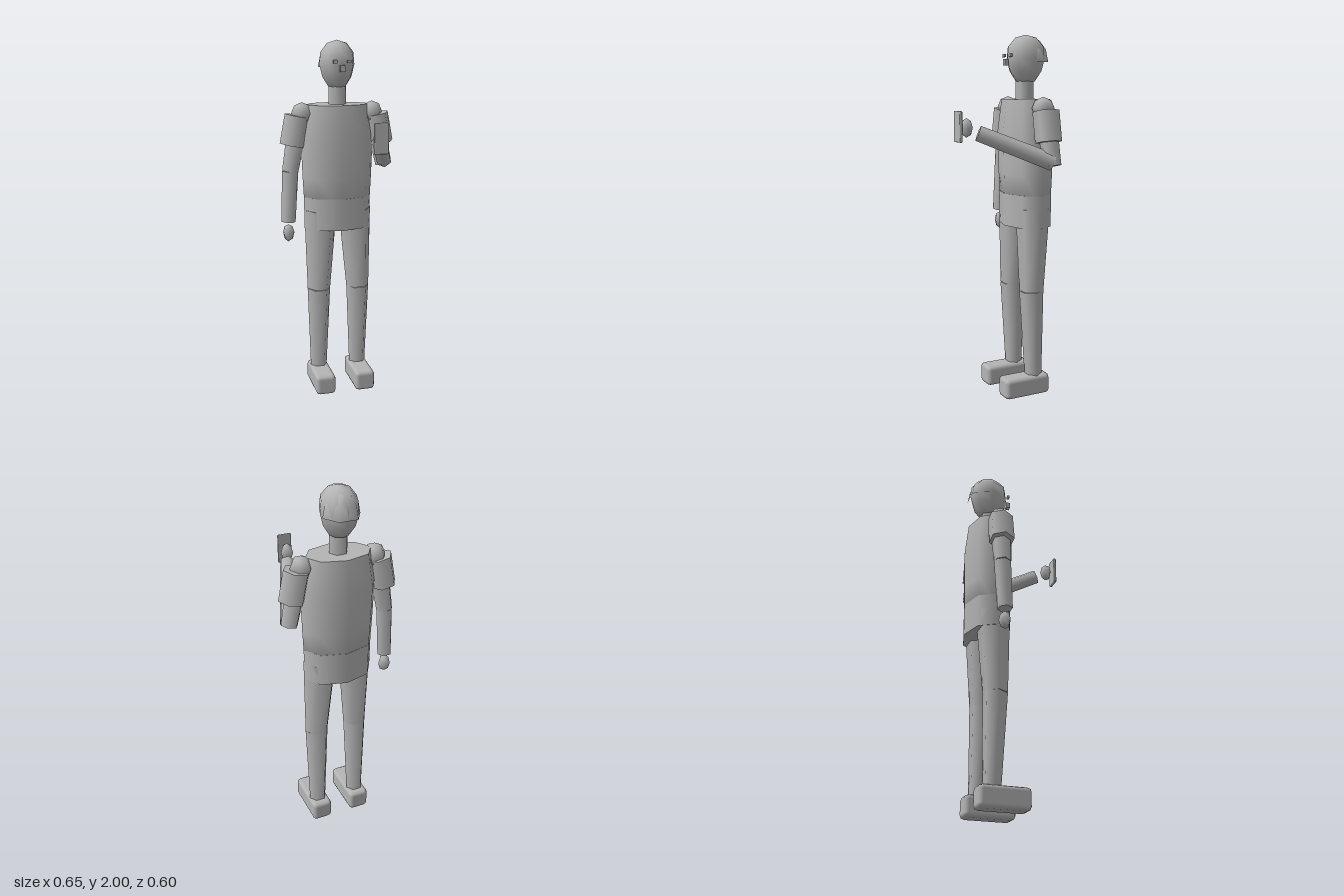
import * as THREE from 'three';
import { RoundedBoxGeometry } from 'three/addons/geometries/RoundedBoxGeometry.js';

const UP = new THREE.Vector3(0, 1, 0);
const ZC = -0.165; // depth of the body axis

export function createModel() {
  const model = new THREE.Group();
  model.name = 'standingFigure';
  const grey = new THREE.MeshStandardMaterial({ color: 0xb4b4b4 });
  grey.name = 'plain grey';

  const add = (name, geometry, x = 0, y = 0, z = 0) => {
    const mesh = new THREE.Mesh(geometry, grey);
    mesh.name = name;
    mesh.position.set(x, y, z);
    model.add(mesh);
    return mesh;
  };

  // Tapered six-sided tube from a to b
  const limb = (name, a, b, ra, rb) => {
    const from = new THREE.Vector3(...a), to = new THREE.Vector3(...b);
    const dir = to.clone().sub(from);
    const geometry = new THREE.CylinderGeometry(ra, rb, dir.length(), 6, 1, false, Math.PI / 2);
    const mid = from.clone().add(to).multiplyScalar(0.5);
    const mesh = add(name, geometry, mid.x, mid.y, mid.z);
    mesh.quaternion.setFromUnitVectors(UP, dir.normalize().negate());
    return mesh;
  };

  // Eight-sided turned form, listed from bottom to top, stretched in depth
  const turned = (name, profile, depth) => {
    const points = profile.map(([r, y]) => new THREE.Vector2(r, y));
    const mesh = add(name, new THREE.LatheGeometry(points, 8), 0, 0, ZC);
    mesh.scale.z = depth;
    return mesh;
  };

  // Body with flat ends
  const body = (name, y0, y1, r0, r1, depth) => {
    const mesh = add(name, new THREE.CylinderGeometry(r1, r0, y1 - y0, 8), 0, (y0 + y1) / 2, ZC);
    mesh.scale.z = depth;
  };
  body('pelvis', 0.96, 1.14, 0.192, 0.194, 0.66);
  turned('torso', [[0, 1.06], [0.19, 1.06], [0.2, 1.25], [0.208, 1.48], [0.178, 1.655]], 0.65);
  body('torsoTop', 1.645, 1.656, 0.18, 0.178, 0.65);

  // Head, hair and face
  limb('neck', [0, 1.77, -0.16], [0, 1.64, -0.16], 0.05, 0.05);
  turned('head', [[0, 1.74], [0.05, 1.752], [0.083, 1.805], [0.099, 1.87],
    [0.093, 1.935], [0.056, 1.983], [0, 2]], 1.13);
  const hair = add('hair', new THREE.SphereGeometry(0.1, 6, 3, 0, Math.PI * 2, 0, Math.PI / 2), 0, 1.855, -0.195);
  hair.scale.set(1, 1.33, 0.97);
  for (const side of [-1, 1]) {
    add('eye', new THREE.BoxGeometry(0.022, 0.016, 0.012), side * 0.038, 1.888, -0.054);
  }
  add('nose', new THREE.BoxGeometry(0.027, 0.035, 0.022), 0, 1.852, -0.044);

  // Mirrored shoulders, sleeves, legs and shoes
  for (const s of [-1, 1]) {
    add('shoulder', new THREE.SphereGeometry(0.06, 6, 4), s * 0.2, 1.61, -0.163);
    limb('sleeve', [s * 0.225, 1.597, ZC], [s * 0.256, 1.435, ZC], 0.071, 0.071);
    limb('thigh', [s * 0.1, 1.06, -0.16], [s * 0.116, 0.6, -0.147], 0.094, 0.067);
    limb('shin', [s * 0.116, 0.6, -0.147], [s * 0.118, 0.11, -0.16], 0.067, 0.048);
    add('shoe', new RoundedBoxGeometry(0.116, 0.116, 0.275, 1, 0.023), s * 0.117, 0.06, -0.103);
  }

  // Faceted hand
  const hand = (name, x, y, z) => {
    const mesh = add(name, new THREE.SphereGeometry(0.034, 5, 4), x, y, z);
    mesh.rotation.y = Math.PI;
    mesh.scale.y = 1.48;
  };

  // Hanging right arm
  limb('rightUpperArm', [-0.215, 1.59, ZC], [-0.27, 1.29, ZC], 0.058, 0.046);
  limb('rightForearm', [-0.27, 1.29, ZC], [-0.287, 1.005, -0.155], 0.046, 0.041);
  hand('rightHand', -0.288, 0.94, -0.155);

  // Bent left arm holding a flat device
  limb('leftUpperArm', [0.215, 1.59, ZC], [0.276, 1.31, -0.18], 0.058, 0.046);
  limb('leftForearm', [0.28, 1.33, -0.18], [0.138, 1.485, 0.187], 0.046, 0.041);
  hand('leftHand', 0.117, 1.513, 0.245);
  add('handheldDevice', new RoundedBoxGeometry(0.077, 0.16, 0.017, 1, 0.005), 0.114, 1.52, 0.289);

  return model;
}
